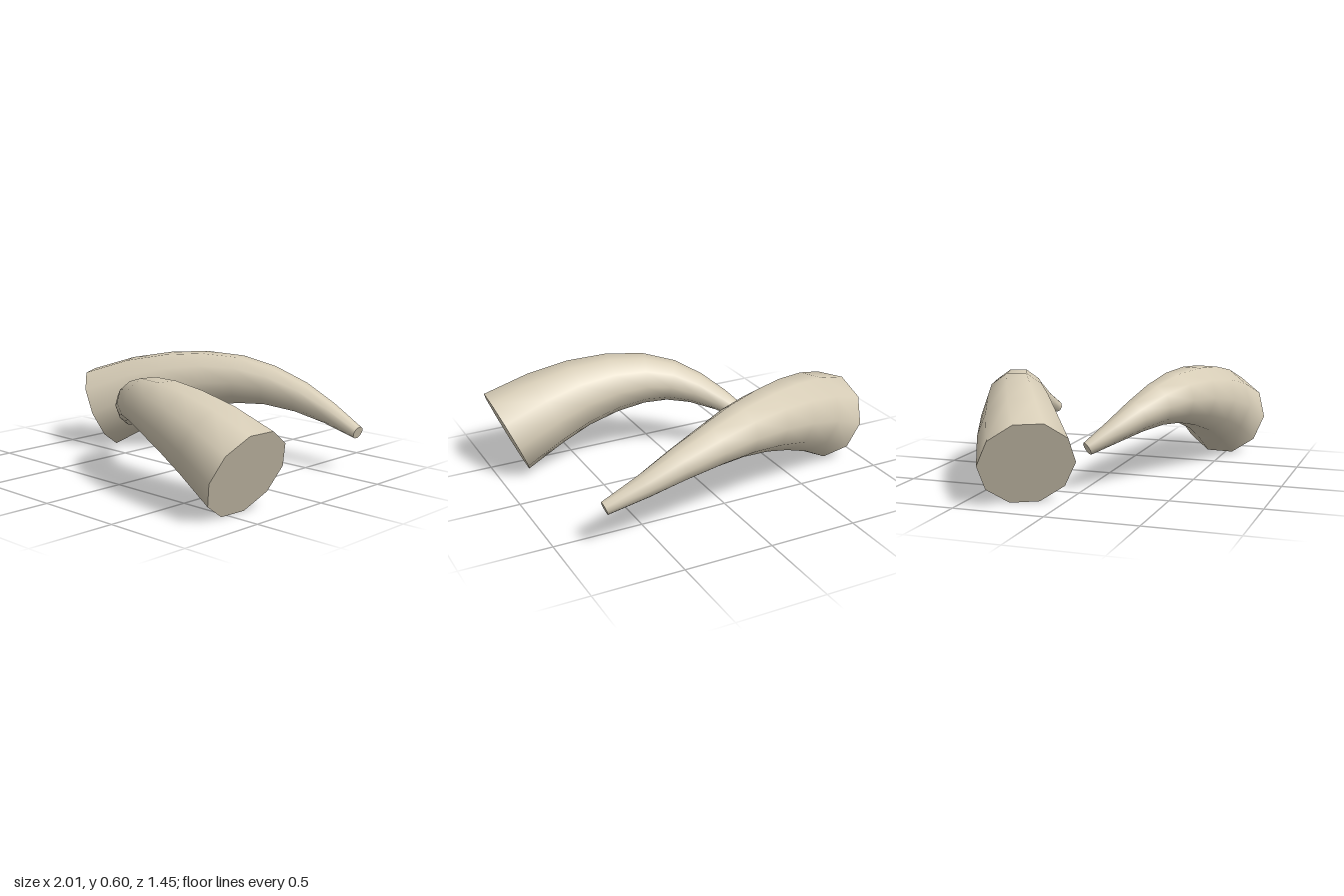
import * as THREE from 'three';

const SIDES = 10;
const BASE_RADIUS = 0.255, TIP_RADIUS = 0.038;
// centreline heights shared by both horns, base to tip
const HEIGHTS = [0.23, 0.335, 0.4, 0.44, 0.453, 0.433, 0.385, 0.317, 0.237];

// Rings of a tapering horn, square to its centreline
function hornRings(plan) {
  const centres = plan.map(([x, z], i) => new THREE.Vector3(x, HEIGHTS[i], z));
  const last = centres.length - 1;
  const up = new THREE.Vector3(0, 1, 0);
  return centres.map((c, i) => {
    const before = centres[Math.max(i - 1, 0)], after = centres[Math.min(i + 1, last)];
    const tangent = after.clone().sub(before).normalize();
    const side = tangent.clone().cross(up).normalize();
    const normal = side.clone().cross(tangent);
    const r = THREE.MathUtils.lerp(BASE_RADIUS, TIP_RADIUS, i / last);
    return Array.from({ length: SIDES }, (_, j) => {
      const a = (j / SIDES) * Math.PI * 2;
      return c.clone().addScaledVector(side, r * Math.cos(a)).addScaledVector(normal, r * Math.sin(a));
    });
  });
}

function geometry(points, index) {
  const g = new THREE.BufferGeometry().setFromPoints(points);
  g.setIndex(index);
  g.computeVertexNormals();
  return g;
}

// Smooth outer skin
function skin(rings) {
  const index = [];
  for (let i = 0; i < rings.length - 1; i++) {
    for (let j = 0; j < SIDES; j++) {
      const k = (j + 1) % SIDES;
      const a = i * SIDES + j, b = i * SIDES + k;
      index.push(a, a + SIDES, b, b, a + SIDES, b + SIDES);
    }
  }
  return geometry(rings.flat(), index);
}

// Flat end face
function cap(ring, flip) {
  const index = [];
  for (let j = 1; j < SIDES - 1; j++) index.push(0, flip ? j + 1 : j, flip ? j : j + 1);
  return geometry(ring, index);
}

function horn(name, plan, material) {
  const group = new THREE.Group();
  group.name = name;
  const rings = hornRings(plan);
  const parts = {
    hornSkin: skin(rings),
    hornBase: cap(rings[0], false),
    hornTip: cap(rings[rings.length - 1], true),
  };
  for (const [part, g] of Object.entries(parts)) {
    const mesh = new THREE.Mesh(g, material);
    mesh.name = part;
    group.add(mesh);
  }
  return group;
}

export function createModel() {
  const model = new THREE.Group();
  model.name = 'pairOfHorns';
  const material = new THREE.MeshStandardMaterial({ color: 0xd8ceb8 });
  // centrelines seen from above, as [x, z] from base to tip
  model.add(horn('frontHorn', [
    [0.9, 0.467], [0.66, 0.453], [0.46, 0.435], [0.26, 0.4], [0.08, 0.35],
    [-0.07, 0.292], [-0.2, 0.22], [-0.32, 0.132], [-0.43, 0.022],
  ], material));
  model.add(horn('backHorn', [
    [-0.85, -0.152], [-0.64, -0.275], [-0.44, -0.375], [-0.25, -0.465], [-0.05, -0.542],
    [0.14, -0.598], [0.35, -0.632], [0.55, -0.645], [0.765, -0.633],
  ], material));
  return model;
}
